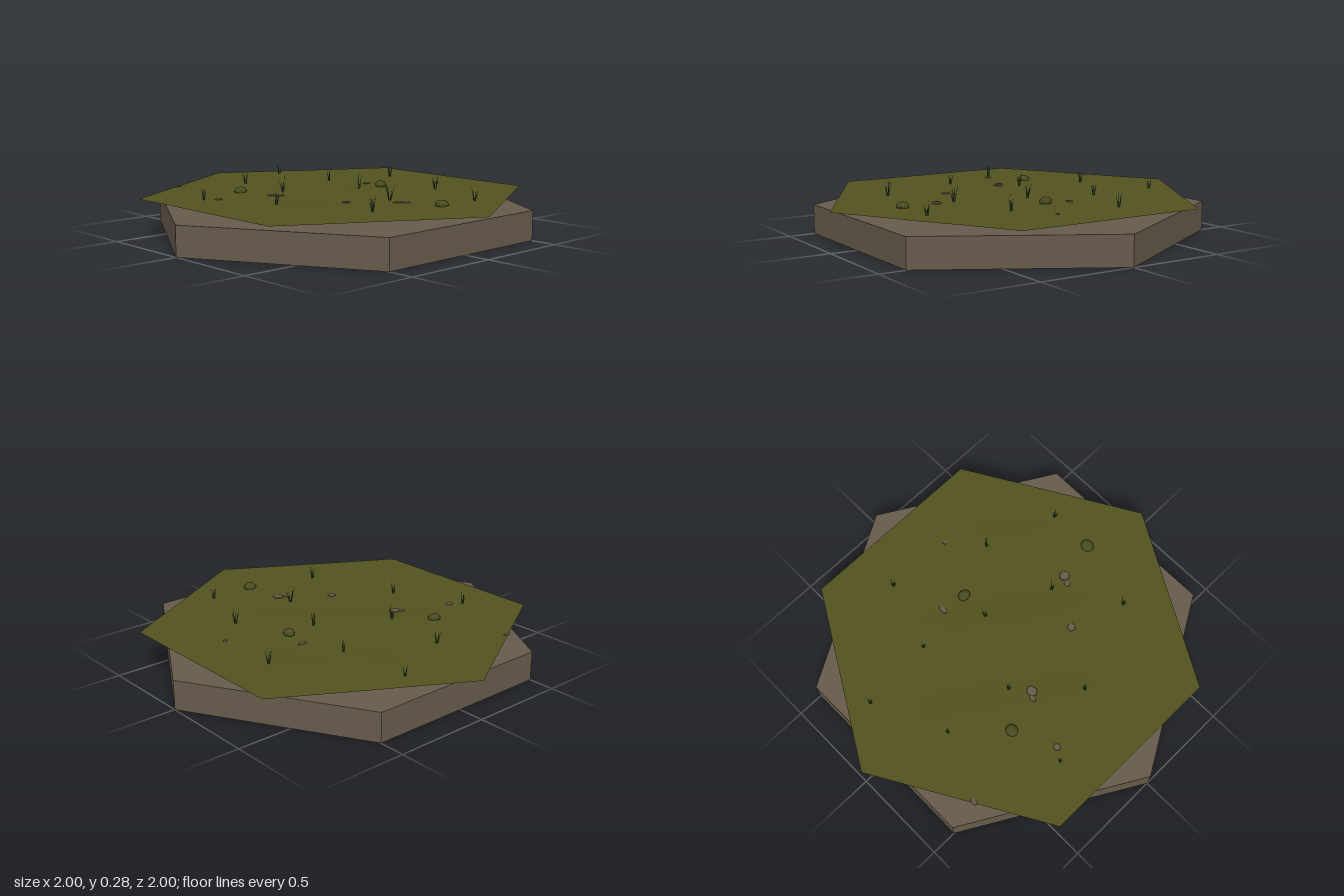
import * as THREE from 'three';
import { mergeGeometries } from 'three/addons/utils/BufferGeometryUtils.js';

const material = (name, color, extra = {}) => {
  const m = new THREE.MeshStandardMaterial({ color, ...extra });
  m.name = name;
  return m;
};

// Gentle unevenness of the ground sheet, fading to level at its rim
const groundHeight = (x, z) => {
  const fade = Math.max(0, 1 - Math.hypot(x, z) ** 2);
  return 0.195 + 0.005 * fade * Math.sin(9 * x + 1) * Math.cos(8 * z + 2 * x);
};

export function createModel() {
  const group = new THREE.Group();
  const earth = material('earth brown', 0x675b4b, { flatShading: true });
  const moss = material('moss green', 0x53521f, { side: THREE.DoubleSide });
  const rock = material('mossy stone', 0x4b4b20, { flatShading: true });
  const blade = material('dark grass', 0x2b4630, { flatShading: true });

  let seed = 7;
  const random = () => (seed = (seed * 16807) % 2147483647) / 2147483647;
  const add = (name, geometry, mat, x = 0, y = 0, z = 0) => {
    const mesh = new THREE.Mesh(geometry, mat);
    mesh.name = name;
    mesh.position.set(x, y, z);
    group.add(mesh);
    return mesh;
  };

  // Hexagonal slab with corners on the x axis
  add('baseSlab', new THREE.CylinderGeometry(1, 1, 0.15, 6).rotateY(Math.PI / 6), earth, 0, 0.075, 0);

  // Ground sheet: a ring grid squeezed to a hexagon with corners on the z axis
  const sheet = new THREE.RingGeometry(0.0001, 1, 24, 12).rotateX(-Math.PI / 2);
  const p = sheet.attributes.position;
  const sixth = Math.PI / 3;
  for (let i = 0; i < p.count; i++) {
    const angle = Math.atan2(p.getZ(i), p.getX(i)) + 2 * Math.PI;
    const k = Math.cos(sixth / 2) / Math.cos(((angle + sixth / 2) % sixth) - sixth / 2);
    const x = p.getX(i) * k, z = p.getZ(i) * k;
    p.setXYZ(i, x, groundHeight(x, z), z);
  }
  sheet.computeVertexNormals();
  add('groundSheet', sheet, moss);

  // Bare patches: x, z, half width, half depth
  [
    [-0.58, -0.23, 0.02, 0.018], [-0.29, -0.115, 0.03, 0.026], [-0.32, -0.14, 0.022, 0.013],
    [0.34, -0.13, 0.026, 0.013], [-0.19, 0.27, 0.022, 0.022], [0.035, 0.45, 0.027, 0.028],
    [-0.005, 0.427, 0.018, 0.014], [-0.49, -0.71, 0.022, 0.012], [0.61, 0.135, 0.01, 0.009],
  ].forEach(([x, z, w, d]) => {
    add('barePatch', new THREE.CylinderGeometry(0.9, 1, 0.004, 9).scale(w, 1, d), earth,
      x, groundHeight(x, z) + 0.002, z);
  });

  // Rounded stones half sunk in the ground
  [[-0.365, -0.33, 0.034, 0.031], [0.32, 0, 0.028, 0.034], [0.07, 0.655, 0.036, 0.032]]
    .forEach(([x, z, w, d], i) => {
      const stone = new THREE.IcosahedronGeometry(1, 1).rotateY(i).scale(w, 0.023, d);
      add('stone', stone, rock, x, 0.202, z);
    });

  // Grass tufts of thin leaning blades: x, z, height
  [
    [0.23, -0.73, 0.07], [-0.15, -0.56, 0.07], [0.26, -0.34, 0.08], [-0.64, -0.27, 0.075],
    [0.615, -0.22, 0.085], [-0.2, -0.19, 0.095], [0.16, 0, 0.085], [-0.47, 0.08, 0.08],
    [0.44, 0.28, 0.09], [0.03, 0.35, 0.095], [-0.29, 0.55, 0.09], [0.31, 0.655, 0.075],
  ].forEach(([x, z, height]) => {
    const blades = [];
    for (let i = 0; i < 5; i++) {
      const h = height * (0.6 + 0.4 * random());
      blades.push(new THREE.ConeGeometry(0.0032, h, 3)
        .translate(0, h / 2, 0)
        .rotateZ(0.08 + 0.22 * random())
        .translate(-0.003, 0, 0)
        .rotateY(i * 1.257 + random()));
    }
    add('grassTuft', mergeGeometries(blades), blade, x, groundHeight(x, z) - 0.001, z);
  });

  return group;
}
